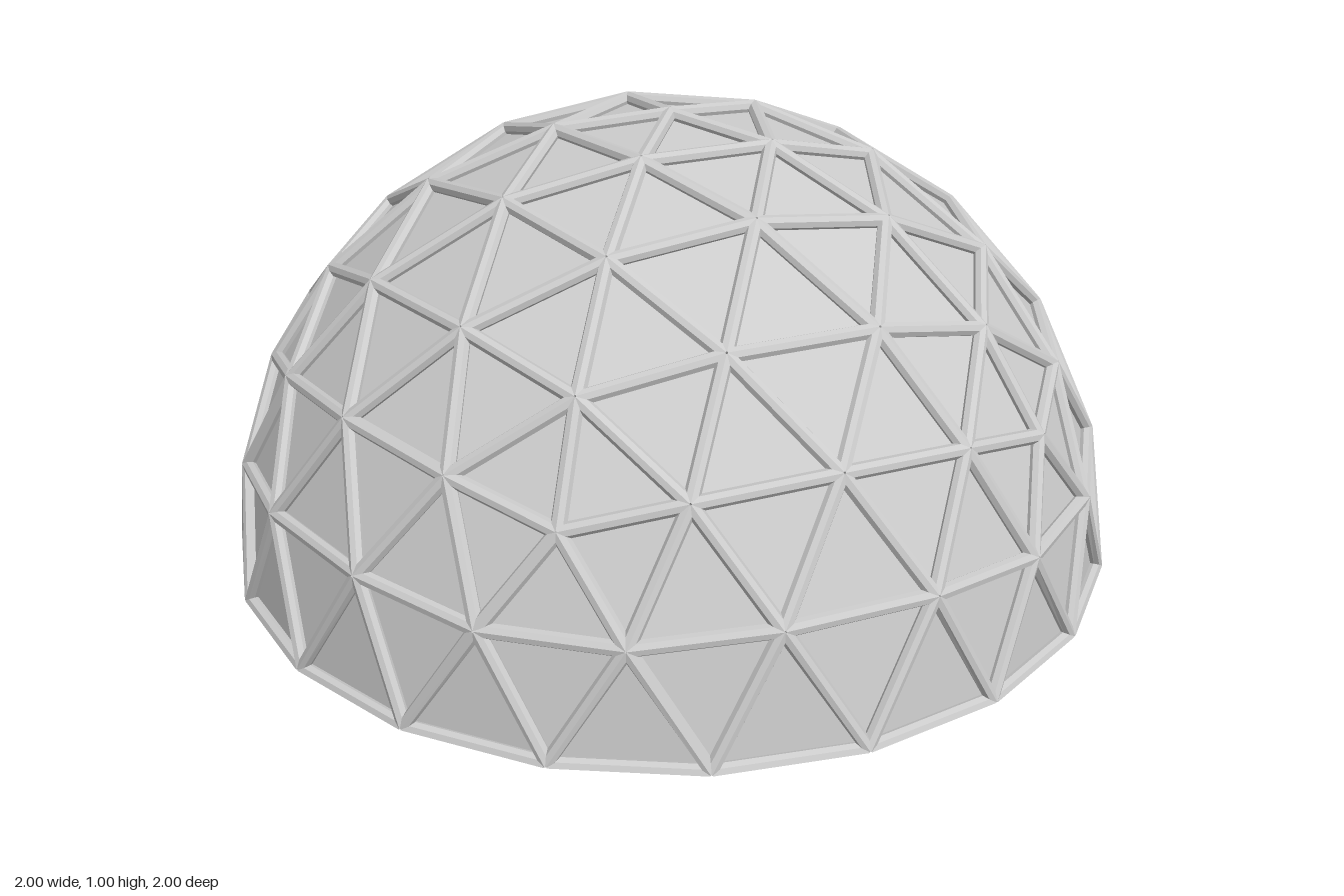
import * as THREE from 'three';
import { mergeGeometries } from 'three/addons/utils/BufferGeometryUtils.js';

const FREQ = 4;            // subdivisions per icosahedron edge
const STRUT_R = 0.016;     // strut radius
const FRAME_R = 0.985;     // sphere through the strut centre lines
const SKIN_R = 0.978;      // sphere through the panel corners
const UP = new THREE.Vector3(0, 1, 0);

// Upper cap and middle band of an icosahedron standing on a vertex
function icosahedronFaces() {
  const ring = (y, offset) => Array.from({ length: 5 }, (_, k) => {
    const a = (k * 72 + offset) * Math.PI / 180, r = 2 / Math.sqrt(5);
    return new THREE.Vector3(r * Math.cos(a), y, r * Math.sin(a));
  });
  const h = 1 / Math.sqrt(5), up = ring(h, 0), low = ring(-h, 36);
  const faces = [];
  for (let k = 0; k < 5; k++) {
    const n = (k + 1) % 5;
    faces.push([UP, up[n], up[k]], [up[k], up[n], low[k]], [low[k], up[n], low[n]]);
  }
  return faces;
}

// Small triangles of the geodesic sphere that lie above the equator
function domeTriangles() {
  const tris = [];
  for (const [a, b, c] of icosahedronFaces()) {
    const at = (i, j) => {
      const p = a.clone().multiplyScalar(FREQ - i - j).addScaledVector(b, i).addScaledVector(c, j).normalize();
      if (Math.abs(p.y) < 1e-6) p.y = 0;
      return p;
    };
    for (let i = 0; i < FREQ; i++) {
      for (let j = 0; j < FREQ - i; j++) {
        tris.push([at(i, j), at(i + 1, j), at(i, j + 1)]);
        if (i + j < FREQ - 1) tris.push([at(i + 1, j), at(i + 1, j + 1), at(i, j + 1)]);
      }
    }
  }
  return tris.filter(t => t.every(p => p.y >= 0));
}

// Flat triangular panels, wound to face outward
function skinGeometry(tris) {
  const points = [];
  for (const [a, b, c] of tris) {
    const n = b.clone().sub(a).cross(c.clone().sub(a));
    const order = n.dot(a) > 0 ? [a, b, c] : [a, c, b];
    order.forEach(p => points.push(p.clone().multiplyScalar(SKIN_R)));
  }
  const geo = new THREE.BufferGeometry().setFromPoints(points);
  geo.computeVertexNormals();
  return geo;
}

// Bar between two nodes, trimmed flat at the ground
function strutGeometry(p, q) {
  const a = p.clone().multiplyScalar(FRAME_R), b = q.clone().multiplyScalar(FRAME_R);
  const dir = b.clone().sub(a), mid = a.clone().add(b).multiplyScalar(0.5);
  const z = mid.clone().normalize(), y = dir.clone().normalize();
  const x = new THREE.Vector3().crossVectors(y, z);
  const geo = new THREE.CylinderGeometry(STRUT_R, STRUT_R, dir.length(), 8);
  geo.applyMatrix4(new THREE.Matrix4().makeBasis(x, y, z).setPosition(mid));
  const pos = geo.attributes.position;
  for (let i = 0; i < pos.count; i++) pos.setY(i, Math.max(0, pos.getY(i)));
  return geo;
}

// Every edge of the dome once
function uniqueEdges(tris) {
  const key = p => p.toArray().map(v => Math.round(v * 1000)).join(',');
  const edges = new Map();
  for (const t of tris) {
    for (let k = 0; k < 3; k++) {
      const p = t[k], q = t[(k + 1) % 3];
      edges.set([key(p), key(q)].sort().join('|'), [p, q]);
    }
  }
  return [...edges.values()];
}

export function createModel() {
  const group = new THREE.Group();
  group.name = 'geodesicDome';
  const grey = new THREE.MeshStandardMaterial({ color: 0xcccccc, flatShading: true });
  const add = (name, geo, mat) => {
    const mesh = new THREE.Mesh(geo, mat);
    mesh.name = name;
    group.add(mesh);
    return mesh;
  };
  const tris = domeTriangles();

  add('panels', skinGeometry(tris), grey);
  add('struts', mergeGeometries(uniqueEdges(tris).map(([p, q]) => strutGeometry(p, q))), grey);

  // Dark twenty-sided floor closing the underside
  const floor = new THREE.CircleGeometry(SKIN_R, 20).rotateX(Math.PI / 2);
  add('floor', floor, new THREE.MeshStandardMaterial({ color: 0x666666 })).position.y = 0.002;

  return group;
}
